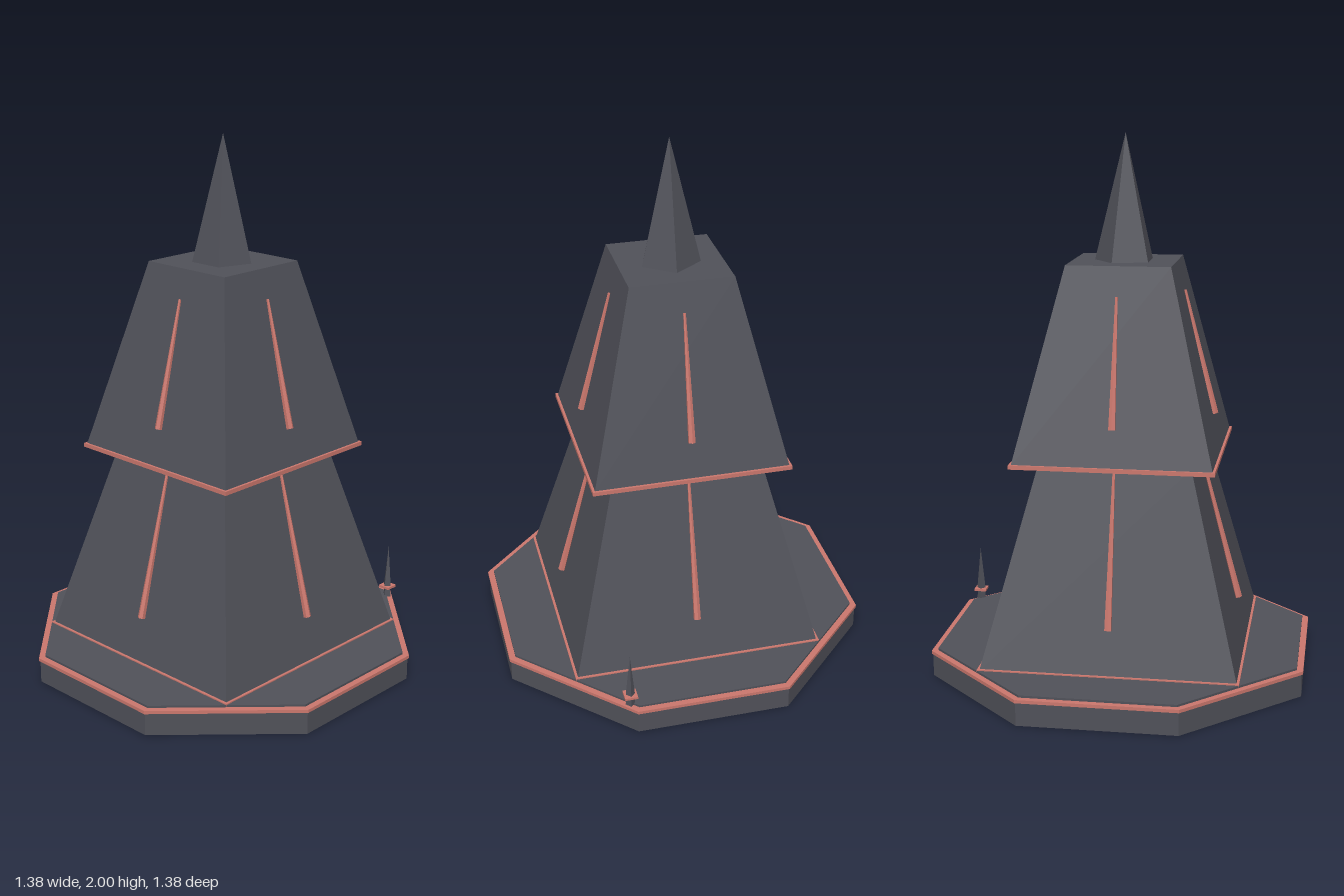
import * as THREE from 'three';

const stone = new THREE.MeshStandardMaterial({ color: 0x505159 });
stone.name = 'dark stone';
const trim = new THREE.MeshStandardMaterial({ color: 0xcb776d });
trim.name = 'salmon trim';

// Flat-sided prism, frustum or cone between two heights; radii are measured to the corners.
function prism(name, material, sides, rBottom, rTop, y0, y1, turn = 0) {
  let geometry = new THREE.CylinderGeometry(rTop, rBottom, y1 - y0, sides);
  geometry.rotateY(turn);
  geometry = geometry.toNonIndexed();
  geometry.computeVertexNormals();
  const mesh = new THREE.Mesh(geometry, material);
  mesh.name = name;
  mesh.position.y = (y0 + y1) / 2;
  return mesh;
}

// Same, with half widths across flats that face the axes.
function flats(name, material, sides, halfBottom, halfTop, y0, y1) {
  const k = 1 / Math.cos(Math.PI / sides);
  return prism(name, material, sides, halfBottom * k, halfTop * k, y0, y1, Math.PI / sides);
}

// Tapered rib leaning against the +z face, from (y0, z0) up to (y1, z1).
function rib(name, y0, z0, y1, z1) {
  const a = new THREE.Vector3(0, y0, z0);
  const b = new THREE.Vector3(0, y1, z1);
  const length = a.distanceTo(b);
  const mesh = prism(name, trim, 6, 0.014, 0.005, -length / 2, length / 2);
  mesh.position.copy(a).add(b).multiplyScalar(0.5);
  mesh.quaternion.setFromUnitVectors(new THREE.Vector3(0, 1, 0), b.sub(a).normalize());
  return mesh;
}

export function createModel() {
  const model = new THREE.Group();
  model.name = 'tower';

  // Octagonal base with its rim
  model.add(
    flats('base', stone, 8, 0.685, 0.685, 0, 0.085),
    flats('baseRim', trim, 8, 0.69, 0.69, 0.085, 0.097),
    flats('baseDeck', stone, 8, 0.667, 0.667, 0.09, 0.105),
  );

  // Two tapered storeys, each on a thin square band
  model.add(
    flats('lowerBand', trim, 4, 0.472, 0.472, 0.1, 0.109),
    flats('lowerStorey', stone, 4, 0.465, 0.277, 0.1, 0.832),
    flats('upperBand', trim, 4, 0.369, 0.369, 0.83, 0.845),
    flats('upperStorey', stone, 4, 0.361, 0.19, 0.84, 1.54),
  );

  // Five-sided spire
  model.add(prism('spire', stone, 5, 0.113, 0, 1.54, 2, Math.PI));

  // Ribs on all four sides
  for (let i = 0; i < 4; i++) {
    const side = new THREE.Group();
    side.name = 'sideRibs';
    side.rotation.y = i * Math.PI / 2;
    side.add(rib('lowerRib', 0.268, 0.432, 0.822, 0.286), rib('upperRib', 0.977, 0.333, 1.435, 0.22));
    model.add(side);
  }

  // Small pinnacle on the rear rim
  const pinnacle = new THREE.Group();
  pinnacle.name = 'pinnacle';
  pinnacle.position.set(0.305, 0, -0.643);
  pinnacle.add(
    prism('pinnacleFoot', stone, 4, 0.018, 0.014, 0.1, 0.138),
    flats('pinnacleCollar', trim, 4, 0.024, 0.024, 0.137, 0.146),
    prism('pinnacleSpike', stone, 4, 0.017, 0, 0.146, 0.315),
  );
  model.add(pinnacle);

  return model;
}
